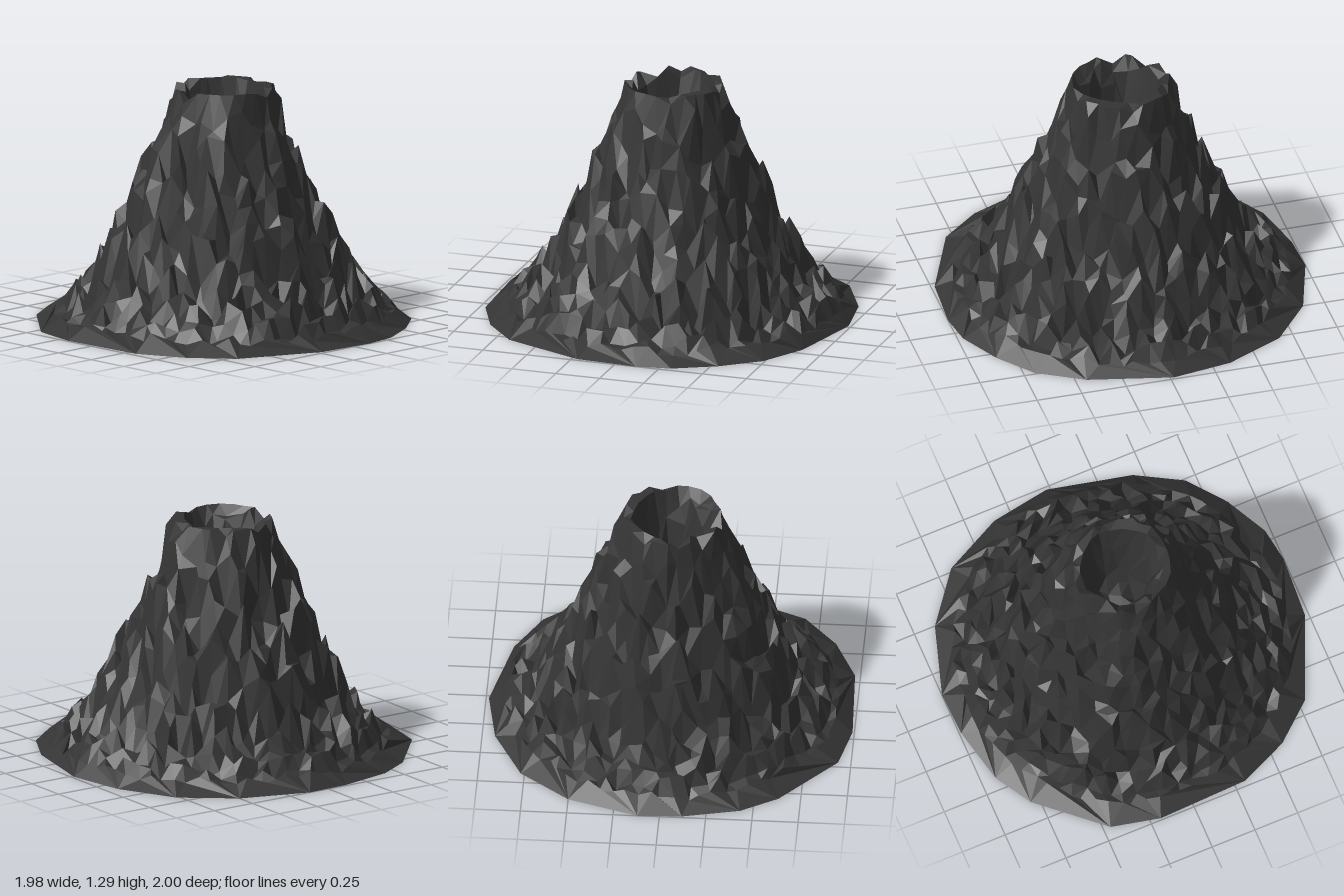
import * as THREE from 'three';

const TAU = Math.PI * 2;

// small seeded random generator, 0..1
function seeded(seed) {
  return () => {
    seed = (seed * 1664525 + 1013904223) % 4294967296;
    return seed / 4294967296;
  };
}

// [radius, crest height, roughness]: crater floor, rim, slope, foot
const PROFILE = [
  [0, 0.8, 0.05], [0.08, 0.84, 0.12], [0.14, 1.02, 0.22], [0.19, 1.27, 0.16],
  [0.22, 1.36, 0.13], [0.27, 1.35, 0.1], [0.31, 1.25, 0.18], [0.34, 1.13, 0.22],
  [0.42, 0.97, 0.24], [0.49, 0.81, 0.25], [0.56, 0.66, 0.25], [0.65, 0.45, 0.23],
  [0.76, 0.26, 0.19], [0.86, 0.16, 0.12], [0.91, 0.08, 0.04], [0.95, 0.05, 0.02],
];

// irregular ground outline, x/z
const OUTLINE = [
  [0.985, -0.02], [0.88, 0.44], [0.74, 0.69], [0.54, 0.85], [0.31, 0.97], [0.12, 1],
  [-0.22, 0.98], [-0.67, 0.79], [-0.85, 0.58], [-0.97, 0.31], [-0.99, -0.19],
  [-0.93, -0.46], [-0.63, -0.8], [-0.43, -0.92], [-0.12, -0.99], [0.12, -1],
  [0.5, -0.88], [0.77, -0.67], [0.93, -0.35],
];

function sampleProfile(r) {
  let i = 1;
  while (i < PROFILE.length - 1 && PROFILE[i][0] < r) i++;
  const [a, b] = [PROFILE[i - 1], PROFILE[i]];
  const t = THREE.MathUtils.clamp((r - a[0]) / (b[0] - a[0]), 0, 1);
  return [a[1] + (b[1] - a[1]) * t, a[2] + (b[2] - a[2]) * t];
}

// a jagged ring of rock points around the axis
function rockRing(radius, rand) {
  const n = Math.max(7, Math.round((TAU * radius) / 0.07));
  const offset = rand() * 0.5;
  return Array.from({ length: n }, (_, i) => {
    const angle = ((i + offset + (rand() - 0.5) * 0.6) / n) * TAU;
    const r = radius + (rand() - 0.5) * 0.03;
    const [crest, rough] = sampleProfile(r);
    const y = Math.min(1.29, crest - rough * rand());
    return { angle, p: [r * Math.cos(angle), y, r * Math.sin(angle)] };
  });
}

// triangles between two rings with different point counts
function stitch(inner, outer, out) {
  const at = (ring, k) => ring[k % ring.length];
  const angle = (ring, k) => at(ring, k).angle + TAU * Math.floor(k / ring.length);
  let i = 0, j = 0;
  while (i < inner.length || j < outer.length) {
    const stepInner = j >= outer.length ||
      (i < inner.length && angle(inner, i + 1) < angle(outer, j + 1));
    if (stepInner) {
      if (inner.length > 1) out.push(...at(inner, i).p, ...at(inner, i + 1).p, ...at(outer, j).p);
      i++;
    } else {
      out.push(...at(inner, i).p, ...at(outer, j + 1).p, ...at(outer, j).p);
      j++;
    }
  }
}

export function createModel() {
  const group = new THREE.Group();
  group.name = 'volcano';
  const rand = seeded(2024);

  // rings from the crater floor out to the foot
  const rings = [[{ angle: 0, p: [0, 0.79, 0] }]];
  for (let r = 0.08; r < 0.92; r += 0.046) rings.push(rockRing(r, rand));

  // smooth skirt down to the ground
  rings.push(OUTLINE.map(([x, z]) => {
    const a = Math.atan2(z, x);
    return { angle: a < -0.1 ? a + TAU : a, p: [x, 0, z] };
  }));

  const positions = [];
  for (let k = 1; k < rings.length; k++) stitch(rings[k - 1], rings[k], positions);

  const geometry = new THREE.BufferGeometry();
  geometry.setAttribute('position', new THREE.Float32BufferAttribute(positions, 3));
  geometry.computeVertexNormals();

  // open-bottomed rock shell
  const rock = new THREE.Mesh(geometry, new THREE.MeshStandardMaterial({
    color: 0x343434, flatShading: true, side: THREE.DoubleSide,
  }));
  rock.name = 'rockShell';
  group.add(rock);
  return group;
}
